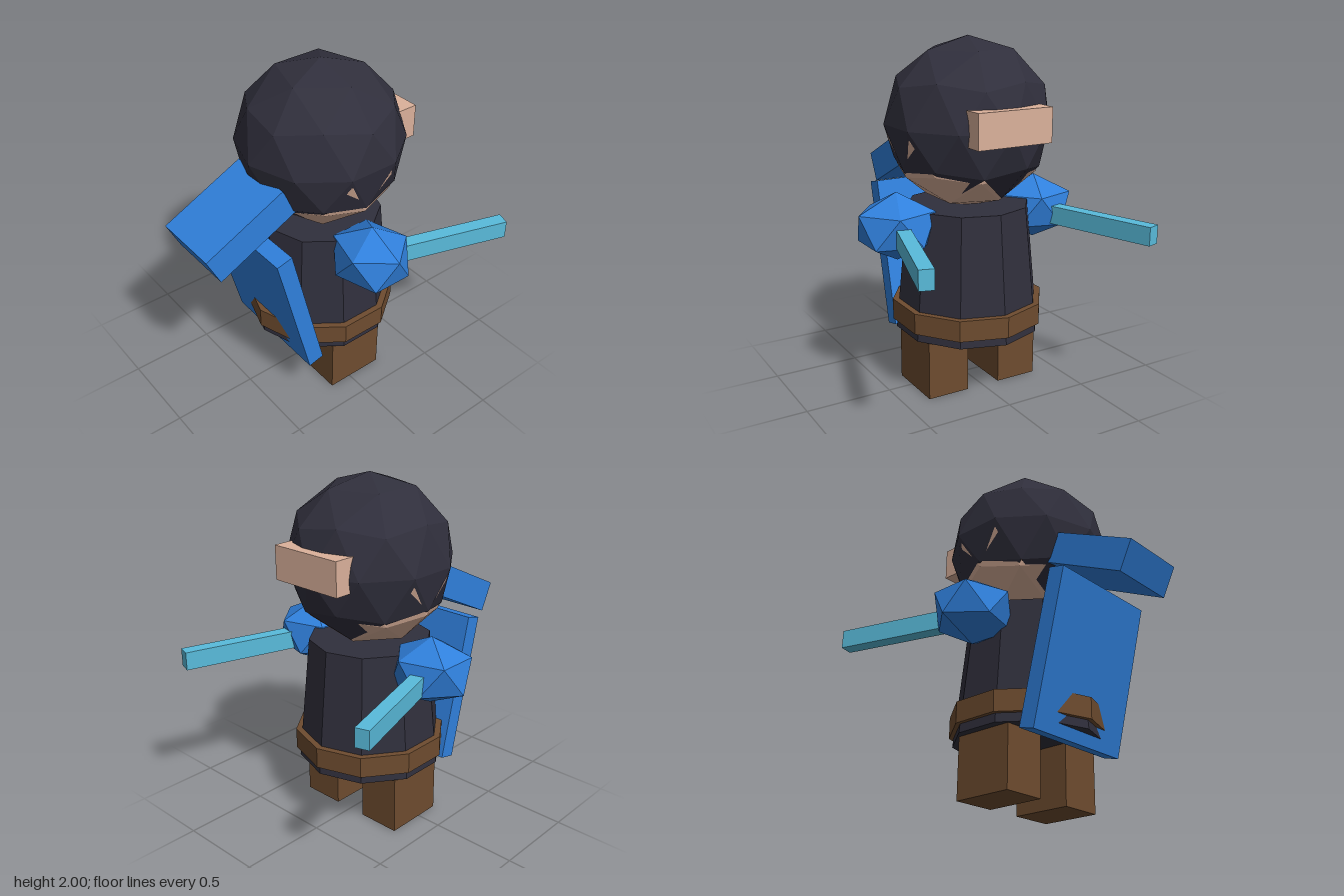
import * as THREE from 'three';

const mat = (name, color, side = THREE.FrontSide) => {
  const m = new THREE.MeshStandardMaterial({ color, side });
  m.name = name;
  return m;
};

// Faceted ball with a vertex at each pole; keep(y) can leave faces out
function icoball(subdivide, keep = () => true) {
  const h = 1 / Math.sqrt(5), r = 2 * h;
  const ring = (y, start) => Array.from({ length: 5 }, (_, k) => {
    const a = start + k * Math.PI * 0.4;
    return new THREE.Vector3(r * Math.cos(a), y, r * Math.sin(a));
  });
  const up = ring(h, 0), low = ring(-h, Math.PI / 5);
  const top = new THREE.Vector3(0, 1, 0), bottom = new THREE.Vector3(0, -1, 0);
  let faces = [];
  for (let k = 0; k < 5; k++) {
    const n = (k + 1) % 5;
    faces.push([top, up[n], up[k]], [up[k], up[n], low[k]],
      [low[k], up[n], low[n]], [bottom, low[k], low[n]]);
  }
  if (subdivide) {
    const mid = (p, q) => p.clone().add(q).normalize();
    faces = faces.flatMap(([a, b, c]) => {
      const ab = mid(a, b), bc = mid(b, c), ca = mid(c, a);
      return [[a, ab, ca], [ab, b, bc], [ca, bc, c], [ab, bc, ca]];
    });
  }
  const points = faces.filter(([a, b, c]) => keep((a.y + b.y + c.y) / 3)).flatMap(([a, b, c]) => {
    const n = b.clone().sub(a).cross(c.clone().sub(a));
    return n.dot(a) > 0 ? [a, b, c] : [a, c, b];
  });
  const g = new THREE.BufferGeometry().setFromPoints(points);
  g.computeVertexNormals();
  return g;
}

export function createModel() {
  const dark = mat('dark cloth', 0x302f3c, THREE.DoubleSide);
  const blue = mat('blue', 0x3080dc);
  const teal = mat('teal', 0x59bbdb);
  const skin = mat('skin', 0xdbb19b);
  const brown = mat('brown leather', 0x6e4c2f);
  for (const m of [dark, blue, teal, skin, brown]) m.flatShading = true;

  const model = new THREE.Group();
  const Z = -0.04; // body axis
  const add = (name, geometry, material, x, y, z) => {
    const mesh = new THREE.Mesh(geometry, material);
    mesh.name = name;
    mesh.position.set(x, y, z);
    model.add(mesh);
    return mesh;
  };
  const box = (w, h, d) => new THREE.BoxGeometry(w, h, d);

  // Head: hair shell open underneath, face showing below it
  add('hair', icoball(true, y => y > -0.7), dark, 0, 1.53, Z).scale.setScalar(0.47);
  add('head', icoball(true), skin, 0, 1.48, Z).scale.set(0.456, 0.43, 0.43);
  add('headBlock', box(0.45, 0.19, 0.14), skin, 0, 1.56, -0.455);

  // Blue box slanting down in front of the face
  add('visor', box(0.4, 0.18, 0.533), blue, 0, 1.249, 0.56).rotation.x = 0.449;

  // Ten-sided body and belt
  add('body', new THREE.CylinderGeometry(0.35, 0.42, 0.725, 10), dark, 0, 0.7075, Z);
  add('belt', new THREE.CylinderGeometry(0.44, 0.44, 0.12, 10), brown, 0, 0.455, Z);

  // Tilted front panel
  add('frontPanel', box(0.7, 0.863, 0.098), blue, 0, 0.708, 0.362).rotation.x = 0.243;

  // Legs, hands and the bars pointing backwards
  for (const s of [1, -1]) {
    const side = s > 0 ? 'left' : 'right';
    add(side + 'Leg', box(0.25, 0.4, 0.355), brown, s * 0.2275, 0.2, Z);
    add(side + 'Hand', icoball(false), blue, s * 0.45, 0.99, Z).scale.set(0.25, 0.192, 0.225);
    add(side + 'Bar', box(0.078, 0.105, 0.78), teal, s * 0.571, 0.968, -0.46).rotation.y = -s * 0.302;
  }
  return model;
}
